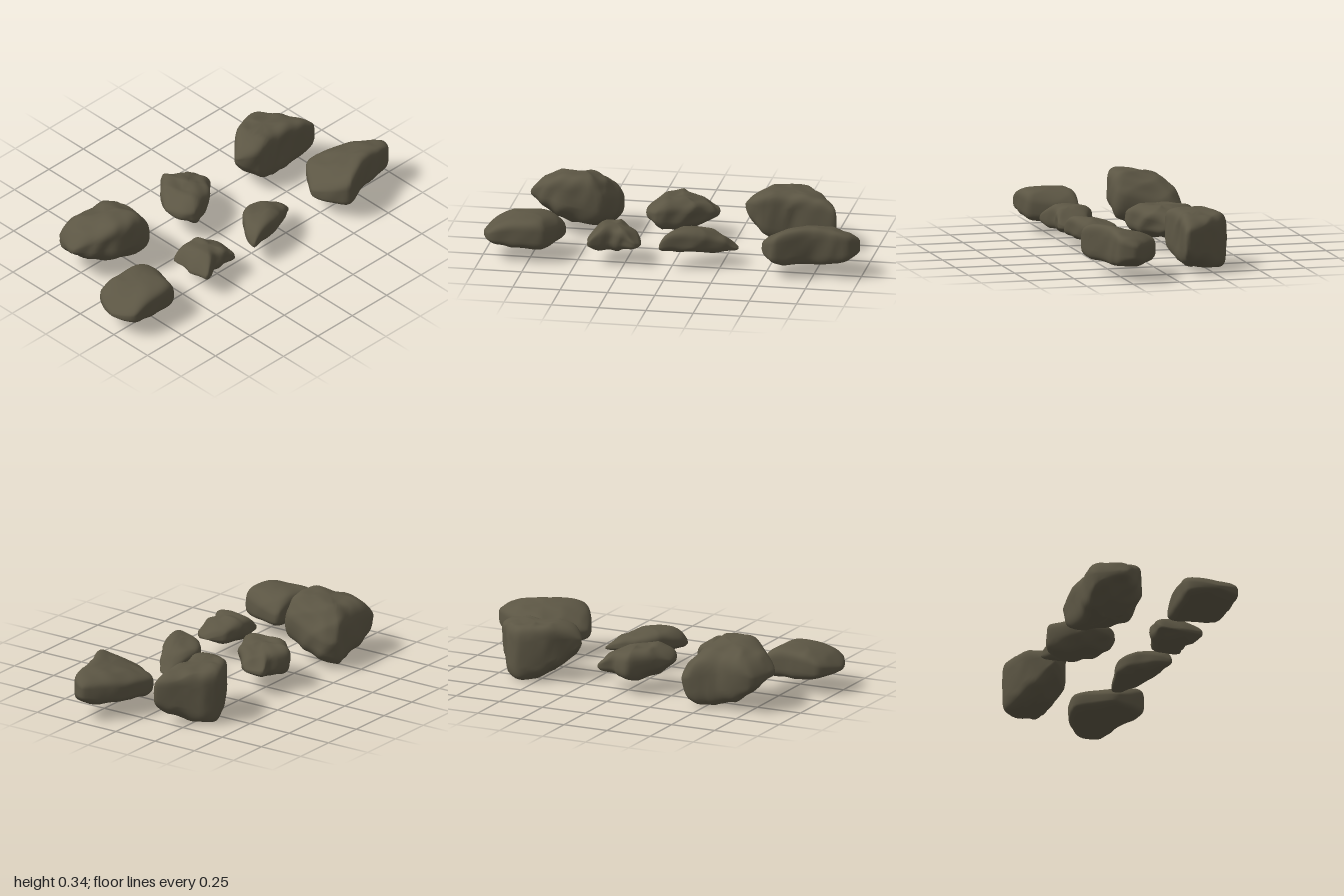
import * as THREE from 'three';
import { mergeVertices } from 'three/addons/utils/BufferGeometryUtils.js';

const SEGMENTS = 64, ROWS = 32;

// Height along the length: level at each end, arching to a broad peak between them
function arch([left, peakX, peakY, right], x, minX, maxX) {
  const onLeft = x < peakX;
  const reach = onLeft ? peakX - minX : maxX - peakX;
  const u = Math.min(1, Math.abs(x - peakX) / reach);
  return peakY + ((onLeft ? left : right) - peakY) * Math.pow(u, 2.4);
}

// Worn ridges and hollows, about -1 to 1
function ridges(x, y, z, seed) {
  const a = Math.sin(17 * x + 9 * z + 11 * y + seed * 2.1);
  const b = Math.sin(13 * z - 21 * x + 14 * y + seed * 4.7 + a);
  const c = Math.sin(37 * x + 31 * z - 29 * y + seed * 1.3 + b);
  return 0.5 * a + 0.6 * (0.6 - Math.abs(b)) + 0.3 * c;
}

// Stack scaled copies of the plan outline from underside to crown, then roughen.
// A small round gives a blocky rock, a large one a pointed rock.
// tilt holds the slopes of the crown and underside, rising toward the front.
function rockGeometry({ corners, top, bottom, tilt, round, rough }, seed) {
  const curve = new THREE.CatmullRomCurve3(
    corners.map(([x, z]) => new THREE.Vector3(x, 0, z)), true, 'catmullrom', 0.24);
  const rim = curve.getSpacedPoints(SEGMENTS).slice(0, SEGMENTS);
  const box = new THREE.Box3().setFromPoints(rim);
  const centre = box.getCenter(new THREE.Vector3());
  const positions = [], index = [];
  for (let i = 0; i <= ROWS; i++) {
    const t = (i / ROWS - 0.5) * Math.PI;
    const r = Math.pow(Math.max(Math.cos(t), 0), round);
    const h = Math.sign(t) * Math.pow(Math.abs(Math.sin(t)), round);
    for (let j = 0; j < SEGMENTS; j++) {
      const p = rim[j].clone().lerp(centre, 1 - r);
      const dz = p.z - centre.z;
      const hi = arch(top, p.x, box.min.x, box.max.x) + tilt[0] * dz;
      const lo = arch(bottom, p.x, box.min.x, box.max.x) + tilt[1] * dz;
      const y = (hi + lo) / 2 + h * (hi - lo) / 2;
      const n = rough * ridges(p.x, y, p.z, seed);
      const out = rim[j].clone().sub(centre).normalize().multiplyScalar(n * r * r * (1 - Math.abs(h) * 0.5));
      positions.push(p.x + out.x, Math.max(0, y + n * h), p.z + out.z);
      if (i < ROWS) {
        const k = (j + 1) % SEGMENTS, a = i * SEGMENTS, b = a + SEGMENTS;
        index.push(a + j, b + j, a + k, b + j, b + k, a + k);
      }
    }
  }
  const g = new THREE.BufferGeometry();
  g.setAttribute('position', new THREE.Float32BufferAttribute(positions, 3));
  g.setIndex(index);
  const merged = mergeVertices(g, 1e-5);
  merged.computeVertexNormals();
  return merged;
}

export function createModel() {
  const group = new THREE.Group();
  group.name = 'rocks';
  const stone = new THREE.MeshStandardMaterial({ color: 0x5c5644 });
  stone.name = 'stone';

  // Corners are [x, z]; top and bottom are [left y, peak x, peak y, right y]
  function addRock(name, shape) {
    const mesh = new THREE.Mesh(rockGeometry(shape, group.children.length + 1), stone);
    mesh.name = name;
    group.add(mesh);
  }

  // Back row
  addRock('backLeftBoulder', {
    corners: [[-0.78, -0.38], [-0.56, -0.385], [-0.41, -0.415], [-0.365, -0.34], [-0.44, -0.065], [-0.67, -0.07], [-0.83, -0.22]],
    top: [0.22, -0.61, 0.325, 0.23], bottom: [0.17, -0.45, 0.03, 0.07], tilt: [0.2, 0.26], round: 0.56, rough: 0.012 });
  addRock('backMiddleRock', {
    corners: [[-0.05, -0.36], [0.06, -0.315], [0.14, -0.33], [0.155, -0.22], [0.02, -0.085], [-0.15, -0.02], [-0.21, -0.18]],
    top: [0.18, -0.07, 0.238, 0.15], bottom: [0.14, 0, 0.07, 0.11], tilt: [0, 0], round: 0.58, rough: 0.014 });
  addRock('backRightBoulder', {
    corners: [[0.3, -0.18], [0.44, -0.31], [0.58, -0.365], [0.67, -0.32], [0.8, -0.1], [0.57, -0.11], [0.4, -0.09]],
    top: [0.23, 0.48, 0.3, 0.25], bottom: [0.17, 0.61, 0.01, 0.08], tilt: [0, 0.12], round: 0.38, rough: 0.01 });

  // Front row
  addRock('frontLeftSlab', {
    corners: [[-1, 0.23], [-0.93, 0.08], [-0.595, 0.1], [-0.66, 0.345], [-0.8, 0.365], [-0.95, 0.355]],
    top: [0.14, -0.75, 0.23, 0.17], bottom: [0.1, -0.68, 0.058, 0.065], tilt: [0, 0], round: 0.5, rough: 0.005 });
  addRock('smallRock', {
    corners: [[-0.44, 0.12], [-0.3, 0.12], [-0.2, 0.16], [-0.155, 0.25], [-0.19, 0.325], [-0.32, 0.31], [-0.43, 0.355]],
    top: [0.13, -0.32, 0.205, 0.12], bottom: [0.1, -0.28, 0.075, 0.09], tilt: [0, 0], round: 0.62, rough: 0.012 });
  addRock('wedgeRock', {
    corners: [[-0.06, 0.33], [-0.03, 0.23], [0.06, 0.12], [0.14, 0.09], [0.32, 0.14], [0.32, 0.2], [0.12, 0.31]],
    top: [0.14, 0.03, 0.207, 0.1], bottom: [0.09, 0.15, 0.078, 0.075], tilt: [0.1, 0], round: 0.6, rough: 0.009 });
  addRock('frontRightSlab', {
    corners: [[0.47, 0.22], [0.61, 0.04], [0.8, 0.075], [0.99, 0.22], [0.94, 0.31], [0.76, 0.33], [0.555, 0.41]],
    top: [0.16, 0.75, 0.248, 0.22], bottom: [0.09, 0.75, 0.068, 0.1], tilt: [0.25, -0.04], round: 0.44, rough: 0.007 });
  return group;
}
